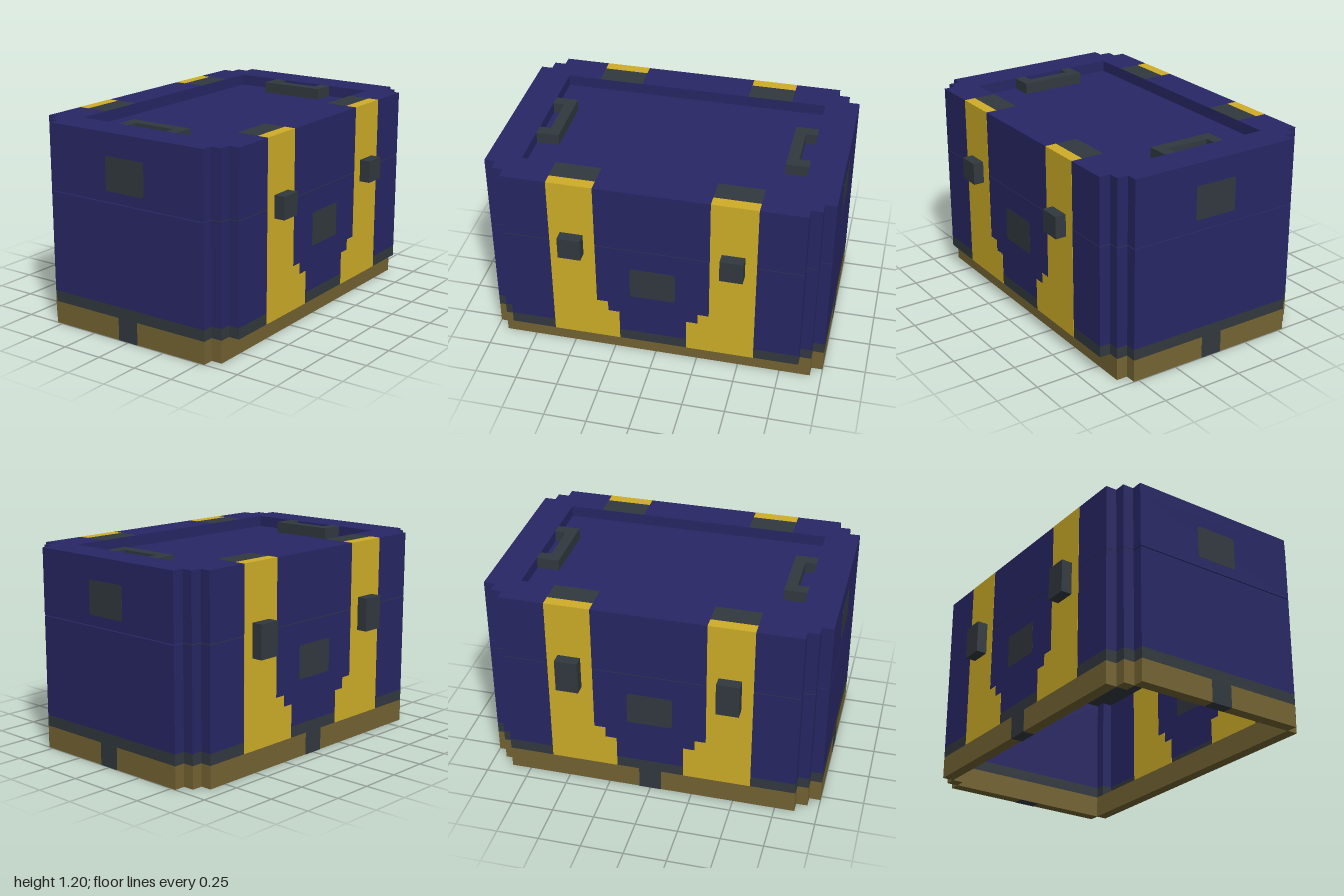
import * as THREE from 'three';

const U = 1 / 15; // one step of the blocky design
const T = 0.002; // thickness of painted plates
const GAP = 0.005; // seam between body and lid

const paint = (name, color) => {
  const m = new THREE.MeshStandardMaterial({ color, side: THREE.DoubleSide });
  m.name = name;
  return m;
};

// Mirrored outline with stepped corners; each step is the [x, z] of one outer corner, in units
function outline(front, back = front) {
  const quadrant = (steps) => steps.flatMap(([x, z], i) => (i ? [[x, steps[i - 1][1]], [x, z]] : [[x, z]]));
  const f = quadrant(front), b = quadrant(back);
  const flip = (pts, sx, sz) => pts.map(([x, z]) => [x * sx, z * sz]);
  return [...f, ...flip(f, -1, 1).reverse(), ...flip(b, -1, -1), ...flip(b, 1, -1).reverse()];
}

// Horizontal shape from an outline, with an optional hole
function flatShape(pts, hole) {
  const v = (p) => p.map(([x, z]) => new THREE.Vector2(x * U, -z * U));
  const s = new THREE.Shape(v(pts));
  if (hole) s.holes.push(new THREE.Path(v(hole)));
  return s;
}
const extrude = (shape, depth) => new THREE.ExtrudeGeometry(shape, { depth, bevelEnabled: false, curveSegments: 3 });
const slab = (shape, y0, y1) => extrude(shape, y1 - y0).rotateX(-Math.PI / 2).translate(0, y0, 0);

// Thin emblem plate with slightly rounded corners, centred on the origin
function emblemGeometry(w, h) {
  const r = 0.015, x = w / 2, y = h / 2;
  const s = new THREE.Shape();
  s.moveTo(-x + r, -y).lineTo(x - r, -y).quadraticCurveTo(x, -y, x, -y + r);
  s.lineTo(x, y - r).quadraticCurveTo(x, y, x - r, y);
  s.lineTo(-x + r, y).quadraticCurveTo(-x, y, -x, y - r);
  s.lineTo(-x, -y + r).quadraticCurveTo(-x, -y, -x + r, -y);
  return extrude(s, T).translate(0, 0, -T / 2);
}

export function createModel() {
  const root = new THREE.Group();
  root.name = 'crate';
  const purple = paint('purple', 0x282765);
  const yellow = paint('yellow', 0xcfae28);
  const brown = paint('brown', 0x746433);
  const dark = paint('darkGrey', 0x32393f);

  const add = (name, geometry, material) => {
    const m = new THREE.Mesh(geometry, material);
    m.name = name;
    root.add(m);
    return m;
  };
  // Box given by two opposite corners
  const box = (name, material, x0, x1, y0, y1, z0, z1) => {
    const m = add(name, new THREE.BoxGeometry(Math.abs(x1 - x0), y1 - y0, Math.abs(z1 - z0)), material);
    m.position.set((x0 + x1) / 2, (y0 + y1) / 2, (z0 + z1) / 2);
  };

  // Outer and inner faces of the walls
  const outer = [[15, 8], [14, 9], [13, 10]];
  const inner = [[13.96, 7.96], [12.96, 8.96]];

  // Base ring, set back in front
  const baseRing = flatShape(outline(outer.slice(0, 2), outer), outline(inner.slice(0, 1), inner));
  add('base', slab(baseRing, 0, 2 * U), brown);
  for (const s of [-1, 1]) {
    box('baseNotch', dark, s * (14 * U - T), s * (1 + T / 2), -T / 2, 2 * U, -U, U);
  }
  box('baseNotch', dark, -U, U, -T / 2, 2 * U, -10 * U - T / 2, -9 * U + 0.006);

  // Hollow body
  const wallRing = flatShape(outline(outer), outline(inner));
  add('lowerBand', slab(wallRing, 2 * U, 3 * U), dark);
  add('body', slab(wallRing, 3 * U, 0.8), purple);

  // Lid with a dark underside that fills the seam, and a recessed top
  const recess = outline([[12, 7]]);
  add('lidBottom', slab(flatShape(outline([[13.96, 8.96], [12.96, 9.96]])), 0.8, 0.8 + GAP), dark);
  add('lidWall', slab(wallRing, 0.8 + GAP, 17 * U), purple);
  add('lidRim', slab(flatShape(outline(outer), recess), 17 * U, 1.2), purple);
  add('recessFloor', new THREE.ShapeGeometry(flatShape(recess)).rotateX(-Math.PI / 2).translate(0, 17 * U, 0), purple);

  // Handles in the recess
  for (const s of [-1, 1]) {
    box('handleBar', dark, s * 10 * U, s * 11 * U, 17 * U, 1.2, -3 * U, 3 * U);
    for (const e of [-1, 1]) {
      box('handleArm', dark, s * 11 * U, s * 12 * U, 17 * U, 1.2, e * 2 * U, e * 3 * U);
    }
  }

  // Stripe outline with a stepped foot, in units
  const foot = [[9, 2], [9, 18], [5, 18], [5, 6], [4, 6], [4, 5], [3, 5], [3, 2]];
  for (const z of [-1, 1]) {
    // Paint on the outer and inner face of the front and back walls
    for (const face of [10 * U, 8.96 * U]) {
      for (const x of [-1, 1]) {
        const top = face > 9 * U ? 18 : 12;
        const s = new THREE.Shape(foot.map(([a, b]) => new THREE.Vector2(x * a * U, Math.min(b, top) * U)));
        add('stripe', extrude(s, T).translate(0, 0, z * face - T / 2), yellow);
      }
      add('emblem', emblemGeometry(4 * U, 3 * U), dark).position.set(0, 8.5 * U, z * face);
    }
    for (const x of [-1, 1]) {
      // Stripe over the lid rim
      box('rimStripe', yellow, x * 5 * U, x * 9 * U, 1.2 - T / 2, 1.2 + T / 2, z * 9 * U, z * 10 * U);
      box('rimPatch', dark, x * 5 * U, x * 9 * U, 1.2 - T / 2, 1.2 + T / 2, z * 7 * U, z * 9 * U);
      // Latch in front, longer hinge behind
      box(z > 0 ? 'latch' : 'hinge', dark, x * 6 * U, x * 8 * U, (z > 0 ? 11 : 10) * U, 13 * U, z * 10 * U, z * 11 * U);
    }
    const side = add('sideEmblem', emblemGeometry(4 * U, 3 * U), dark);
    side.rotation.y = Math.PI / 2;
    side.position.set(z, 14.5 * U, 0);
  }
  return root;
}
